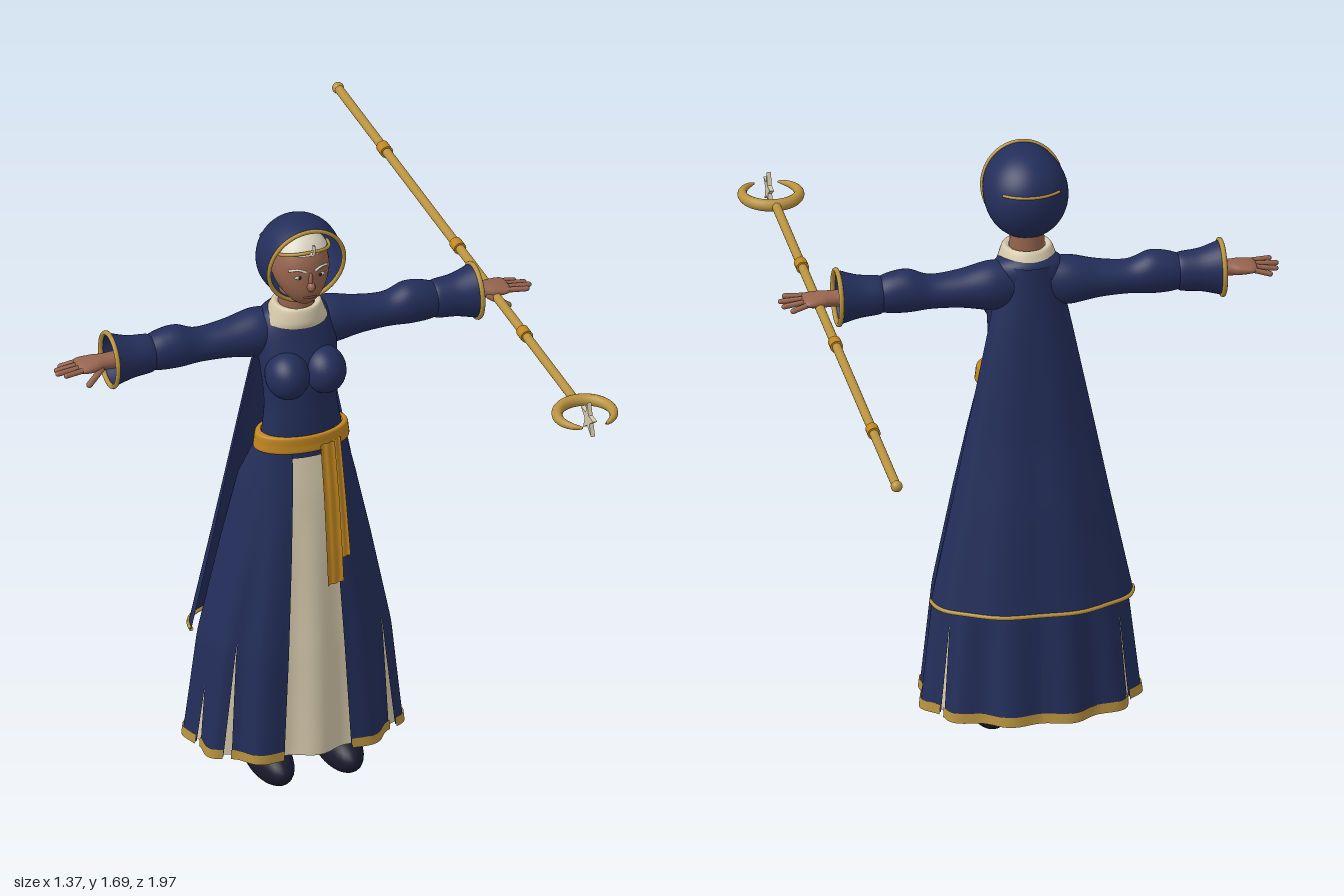
import * as THREE from 'three';
import { mergeGeometries, mergeVertices } from 'three/addons/utils/BufferGeometryUtils.js';

const mat = (name, color, side = THREE.DoubleSide) =>
  Object.assign(new THREE.MeshStandardMaterial({ color, side }), { name });
const { sin, cos, PI, sqrt, abs, sign, asin, max } = Math;

// Smooth surface from a rule f(u, v) -> [x, y, z], with u and v in 0..1
function grid(f, nu, nv) {
  const pos = [], idx = [];
  for (let j = 0; j <= nv; j++) for (let i = 0; i <= nu; i++) pos.push(...f(i / nu, j / nv));
  for (let j = 0; j < nv; j++) for (let i = 0; i < nu; i++) {
    const a = j * (nu + 1) + i, d = a + nu + 1;
    idx.push(a, a + 1, d + 1, a, d + 1, d);
  }
  const g = new THREE.BufferGeometry();
  g.setAttribute('position', new THREE.Float32BufferAttribute(pos, 3));
  g.setIndex(idx);
  return smooth(g);
}
function smooth(g) {
  const m = mergeVertices(g, 1e-4);
  m.computeVertexNormals();
  return m;
}
// Interpolate rows [key, a, b, ...] whose keys rise
function sample(rows, k) {
  let i = 0;
  while (i < rows.length - 2 && k > rows[i + 1][0]) i++;
  const t = (k - rows[i][0]) / (rows[i + 1][0] - rows[i][0]);
  return rows[i].map((a, n) => a + (rows[i + 1][n] - a) * t);
}
const spline = (rows) => {
  const n = rows[0].length - 1;
  return (v) => {
    const f = v * (rows.length - 1), i = Math.min(Math.floor(f), rows.length - 2), t = f - i;
    const at = (k) => rows[Math.min(max(k, 0), rows.length - 1)];
    return Array.from({ length: n + 1 }, (_, c) => {
      const [p, q, r, s] = [at(i - 1)[c], at(i)[c], at(i + 1)[c], at(i + 2)[c]];
      return q + 0.5 * t * (r - p + t * (2 * p - 5 * q + 4 * r - s + t * (3 * (q - r) + s - p)));
    });
  };
};
// Upright loft, rows [y, rx, rz, zCentre]
const loftY = (rows, nv = 24) => {
  const s = spline(rows);
  return grid((u, v) => {
    const [y, rx, rz, zc] = s(v), a = u * 2 * PI;
    return [max(rx, 0) * sin(a), y, zc + max(rz, 0) * cos(a)];
  }, 40, nv);
};
// Sideways loft, rows [x, ry, rz, yCentre]
const loftX = (rows, nv = 24) => {
  const s = spline(rows);
  return grid((u, v) => {
    const [x, ry, rz, yc] = s(v), a = u * 2 * PI;
    return [x, yc - ry * sin(a), rz * cos(a)];
  }, 32, nv);
};
const ball = (x, y, z, rx, ry, rz) => new THREE.SphereGeometry(1, 28, 20).scale(rx, ry, rz).translate(x, y, z);
const tube = (pts, r, closed = false) => new THREE.TubeGeometry(
  new THREE.CatmullRomCurve3(pts.map((p) => new THREE.Vector3(...p)), closed), 64, r, 8, closed);
const arc = (n, f) => Array.from({ length: n }, (_, i) => f(i / (n - 1)));

// Skirt profile: [y, half width, front z, back z]
const SKIRT = [[0.09, 0.295, 0.408, -0.008], [0.41, 0.262, 0.395, 0.022], [0.7, 0.203, 0.374, 0.06],
  [0.88, 0.162, 0.355, 0.095], [1.03, 0.12, 0.33, 0.185]];
function skirtPoint(a, y, off = 0) {
  const [, rx, zf, zb] = sample(SKIRT, y);
  const wave = 0.012 * max(0, 1 - y / 0.9) * cos(11 * a) + off, c = cos(a);
  return [(rx + wave) * sin(a), y, (zf + zb) / 2 + ((zf - zb) / 2 + wave) * sign(c) * abs(c) ** 0.85];
}
// Cape profile: [y, half width, back z, front z]
const CAPE = [[0.41, 0.277, 0.002, 0.15], [0.7, 0.216, 0.042, 0.16], [0.89, 0.178, 0.074, 0.165],
  [1.2, 0.115, 0.108, 0.175], [1.39, 0.075, 0.128, 0.2]];
function capePoint(u, y) {
  const [, rx, zb, zf] = sample(CAPE, y), a = (0.5 + u) * PI;
  return [rx * sin(a), y, zf + (zf - zb) * cos(a) + 0.004 * cos(u * 8 * PI) * (1.39 - y)];
}
// Hood surface, q is the angle back from the front pole
function hoodPoint(u, q, grow = 0) {
  const a = -u * 2 * PI, y = (0.122 + grow) * sin(q) * sin(a), c = cos(q);
  return [(0.115 + grow) * sin(q) * cos(a), 1.57 + y, 0.237 + c * (c > 0 ? 0.18 : 0.112) + 0.12 * y * (1 + c)];
}

export function createModel() {
  const M = {
    navy: mat('navy cloth', 0x232e5a), cream: mat('cream cloth', 0xd6c9ab), trim: mat('gold trim', 0xb8923f),
    sash: mat('ochre sash', 0xc08620), skin: mat('skin', 0x96644d), shoe: mat('dark leather', 0x1b1a2e),
    lip: mat('lips', 0x7a4439), white: mat('pale hair', 0xdcd6c4), iris: mat('dark iris', 0x2a2226),
  };
  const model = new THREE.Group();
  model.name = 'robedFigure';
  const add = (name, geo, m, parent = model) => {
    const mesh = new THREE.Mesh(geo, m);
    mesh.name = name;
    parent.add(mesh);
    return mesh;
  };

  // Overskirt: open in front, with three slits on each side
  const front = (y) => asin((0.105 - 0.055 * y) / sample(SKIRT, y)[1]);
  const slits = [[0.96, 0.45], [1.47, 0.27], [2.04, 0.36]];
  const slit = ([a, h], s) => (y) => a + s * 0.055 * max(0, (h - y) / h);
  const panels = [];
  for (let i = 0; i <= slits.length; i++) {
    panels.push([i ? slit(slits[i - 1], 1) : front, i < slits.length ? slit(slits[i], -1) : () => PI]);
  }
  const wrap = (y0, y1, off, nv) => smooth(mergeGeometries([1, -1].flatMap((s) => panels.map(([l, r]) =>
    grid((u, v) => {
      const y = y0 + (y1 - y0) * v, k = s > 0 ? u : 1 - u;
      return skirtPoint(s * (l(y) + (r(y) - l(y)) * k), y, off);
    }, 20, nv)))));
  add('overskirt', wrap(0.1, 1.02, 0, 40), M.navy);
  add('skirtHem', wrap(0.094, 0.122, 0.004, 2), M.trim);
  add('underskirt', grid((u, v) => skirtPoint((u - 0.5) * 2 * PI, 0.1 + 0.9 * v, -0.012), 100, 24), M.cream);

  // Bodice
  add('bodice', loftY([[0.99, 0.122, 0.07, 0.262], [1.06, 0.112, 0.066, 0.262], [1.14, 0.102, 0.07, 0.255],
    [1.24, 0.108, 0.078, 0.24], [1.33, 0.115, 0.078, 0.21], [1.385, 0.095, 0.066, 0.2], [1.41, 0.055, 0.05, 0.205]], 36), M.navy);
  for (const s of [1, -1]) add('bust', ball(s * 0.053, 1.235, 0.295, 0.06, 0.067, 0.07), M.navy);

  // Belt and hanging sash ends
  add('belt', loftY([[1.008, 0.13, 0.07, 0.262], [1.01, 0.136, 0.078, 0.262], [1.03, 0.134, 0.077, 0.262],
    [1.053, 0.13, 0.076, 0.262], [1.056, 0.115, 0.068, 0.262]]), M.sash);
  for (const [x0, x1, y0, off] of [[0.025, 0.075, 0.617, 0.018], [0.065, 0.1, 0.685, 0.012]]) {
    add('sashEnd', grid((u, v) => {
      const y = y0 + (1.03 - y0) * v, x = (x0 + (x1 - x0) * u) * (1 - 0.1 * v);
      const p = skirtPoint(asin(x / sample(SKIRT, y)[1]), y);
      return [x, y, p[2] + off + 0.003 * cos(u * 4 * PI)];
    }, 8, 20), M.sash);
  }

  // Cape
  add('cape', grid((u, v) => capePoint(1 - u, 1.39 - 0.98 * (1 - v)), 48, 30), M.navy);
  add('capeHem', tube(arc(24, (t) => capePoint(t, 0.412)), 0.006), M.trim);

  // Arms: the second is the first turned half round
  for (const s of [1, -1]) {
    const arm = new THREE.Group();
    arm.name = s > 0 ? 'leftArm' : 'rightArm';
    arm.position.z = 0.19;
    arm.rotation.y = s > 0 ? 0 : PI;
    model.add(arm);
    add('sleeve', loftX([[0.05, 0.065, 0.055, 1.325], [0.11, 0.068, 0.064, 1.325], [0.19, 0.052, 0.056, 1.322],
      [0.27, 0.047, 0.05, 1.32], [0.33, 0.06, 0.054, 1.328], [0.38, 0.057, 0.052, 1.326], [0.42, 0.046, 0.045, 1.322]], 36), M.navy, arm);
    add('cuff', loftX([[0.405, 0.046, 0.045, 1.322], [0.415, 0.054, 0.05, 1.322], [0.47, 0.06, 0.056, 1.322],
      [0.527, 0.077, 0.069, 1.324]]), M.navy, arm);
    const ring = add('cuffTrim', new THREE.TorusGeometry(0.076, 0.007, 8, 40).rotateY(PI / 2).scale(1, 1, 0.9), M.trim, arm);
    ring.position.set(0.527, 1.324, 0);
    add('wrist', loftX([[0.4, 0.03, 0.032, 1.322], [0.53, 0.022, 0.026, 1.322], [0.575, 0.02, 0.036, 1.322],
      [0.615, 0.013, 0.038, 1.322], [0.625, 0.001, 0.01, 1.322]]), M.skin, arm);
    // Four fingers and a thumb
    const finger = (name, a, b, r) => {
      const p = new THREE.Vector3(...a), d = new THREE.Vector3(...b).sub(p);
      const m = add(name, new THREE.CapsuleGeometry(r, d.length(), 4, 10), M.skin, arm);
      m.position.copy(p).addScaledVector(d, 0.5);
      m.quaternion.setFromUnitVectors(new THREE.Vector3(0, 1, 0), d.normalize());
    };
    [0.665, 0.68, 0.675, 0.655].forEach((x, i) =>
      finger('finger', [0.6, 1.324, s * (0.027 - 0.018 * i)], [x, 1.322 - 0.004 * i, s * (0.038 - 0.025 * i)], 0.0075));
    finger('thumb', [0.56, 1.314, s * 0.026], [0.605, 1.292, s * 0.055], 0.009);
  }

  // Shoes and lower legs
  for (const s of [1, -1]) {
    const shoe = ball(s * 0.1, 0.045, 0.272, 0.058, 0.06, 0.135), p = shoe.attributes.position;
    for (let i = 0; i < p.count; i++) p.setY(i, max(0, p.getY(i)));
    shoe.computeVertexNormals();
    add('shoe', shoe, M.shoe);
    add('lowerLeg', new THREE.CylinderGeometry(0.055, 0.045, 0.42, 20).translate(s * 0.098, 0.26, 0.2), M.shoe);
  }

  // Neck and collar
  add('neck', new THREE.CylinderGeometry(0.045, 0.05, 0.14, 24).translate(0, 1.43, 0.222), M.skin);
  add('collar', loftY([[1.37, 0.088, 0.082, 0.215], [1.39, 0.08, 0.08, 0.22], [1.425, 0.066, 0.066, 0.225],
    [1.423, 0.05, 0.05, 0.225]]), M.cream);

  // Face, narrowing to the chin
  const face = ball(0, 1.55, 0.25, 0.08, 0.105, 0.086), fp = face.attributes.position;
  for (let i = 0; i < fp.count; i++) {
    const d = max(0, 1.54 - fp.getY(i));
    fp.setX(i, fp.getX(i) * (1 - 2.2 * d));
    fp.setZ(i, fp.getZ(i) + (fp.getZ(i) > 0.25 ? 0.25 * d : 0));
  }
  face.computeVertexNormals();
  add('face', face, M.skin);
  add('nose', ball(0, 1.523, 0.338, 0.011, 0.014, 0.014), M.skin);
  add('noseBridge', ball(0, 1.54, 0.332, 0.007, 0.026, 0.011), M.skin);
  add('mouth', ball(0, 1.487, 0.327, 0.02, 0.006, 0.008), M.lip);
  for (const s of [1, -1]) {
    add('eye', ball(s * 0.03, 1.552, 0.327, 0.014, 0.0055, 0.004), M.white);
    add('iris', ball(s * 0.03, 1.552, 0.3295, 0.005, 0.005, 0.003), M.iris);
    add('brow', tube([[s * 0.013, 1.568, 0.333], [s * 0.033, 1.576, 0.329], [s * 0.055, 1.569, 0.312]], 0.0035), M.white);
  }

  // Pale fringe and headband with a small upturned ornament
  add('fringe', new THREE.SphereGeometry(1, 32, 12, 0, 2 * PI, 0, 1.0).scale(0.087, 0.104, 0.093).translate(0, 1.556, 0.25), M.white);
  add('headband', tube(arc(15, (t) => {
    const a = (t - 0.5) * PI;
    return [0.079 * sin(a), 1.627 - 0.02 * sin(a) ** 2, 0.25 + 0.083 * cos(a)];
  }), 0.005), M.trim);
  add('headOrnament', tube([[0, 1.625, 0.335], [0, 1.63, 0.355], [0, 1.645, 0.361], [0, 1.663, 0.358]], 0.004), M.cream);

  // Hood with its gold edge and the band at the back
  const open = 1.2;
  add('hood', grid((u, v) => hoodPoint(u, open + (PI - open) * v), 48, 28), M.navy);
  add('hoodTrim', tube(arc(33, (t) => hoodPoint(t, open, 0.001)).slice(0, 32), 0.006, true), M.trim);
  add('hoodBand', tube(arc(13, (t) => {
    const a = (t - 0.5) * 1.5;
    return [0.114 * sin(a), 1.603, 0.24 - 0.112 * cos(a)];
  }), 0.004), M.trim);

  // Staff with joints, crescent and star
  const staff = new THREE.Group();
  staff.name = 'staff';
  staff.position.set(0.58, 1.31, 0);
  model.add(staff);
  const rod = (r, len, z) => new THREE.CylinderGeometry(r, r, len, 20).rotateX(PI / 2).translate(0, 0, z);
  add('shaft', rod(0.0125, 1.8, -0.08), M.trim, staff);
  add('endKnob', ball(0, 0, -0.984, 0.016, 0.016, 0.016), M.trim, staff);
  for (const z of [0.435, -0.073, -0.63]) add('joint', rod(0.0175, 0.036, z), M.sash, staff);
  add('crescent', grid((u, v) => {
    const a = (v - 0.5) * 5.4, r = 0.001 + 0.016 * sqrt(max(0, cos(a / 2.72 * PI / 2))), k = 0.077 + r * cos(u * 2 * PI);
    return [k * sin(a), r * sin(u * 2 * PI), 0.897 - k * cos(a)];
  }, 14, 48), M.trim, staff);
  const star = new THREE.Shape(arc(10, (t) => {
    const a = t * 1.8 * PI + PI / 2, r = Math.round(t * 9) % 2 ? 0.019 : 0.05;
    return new THREE.Vector2(r * cos(a), r * sin(a));
  }));
  add('star', new THREE.ExtrudeGeometry(star, { depth: 0.012, bevelEnabled: false })
    .translate(0, 0, -0.006).rotateY(PI / 2).translate(0, 0, 0.925), M.cream, staff);

  return model;
}
